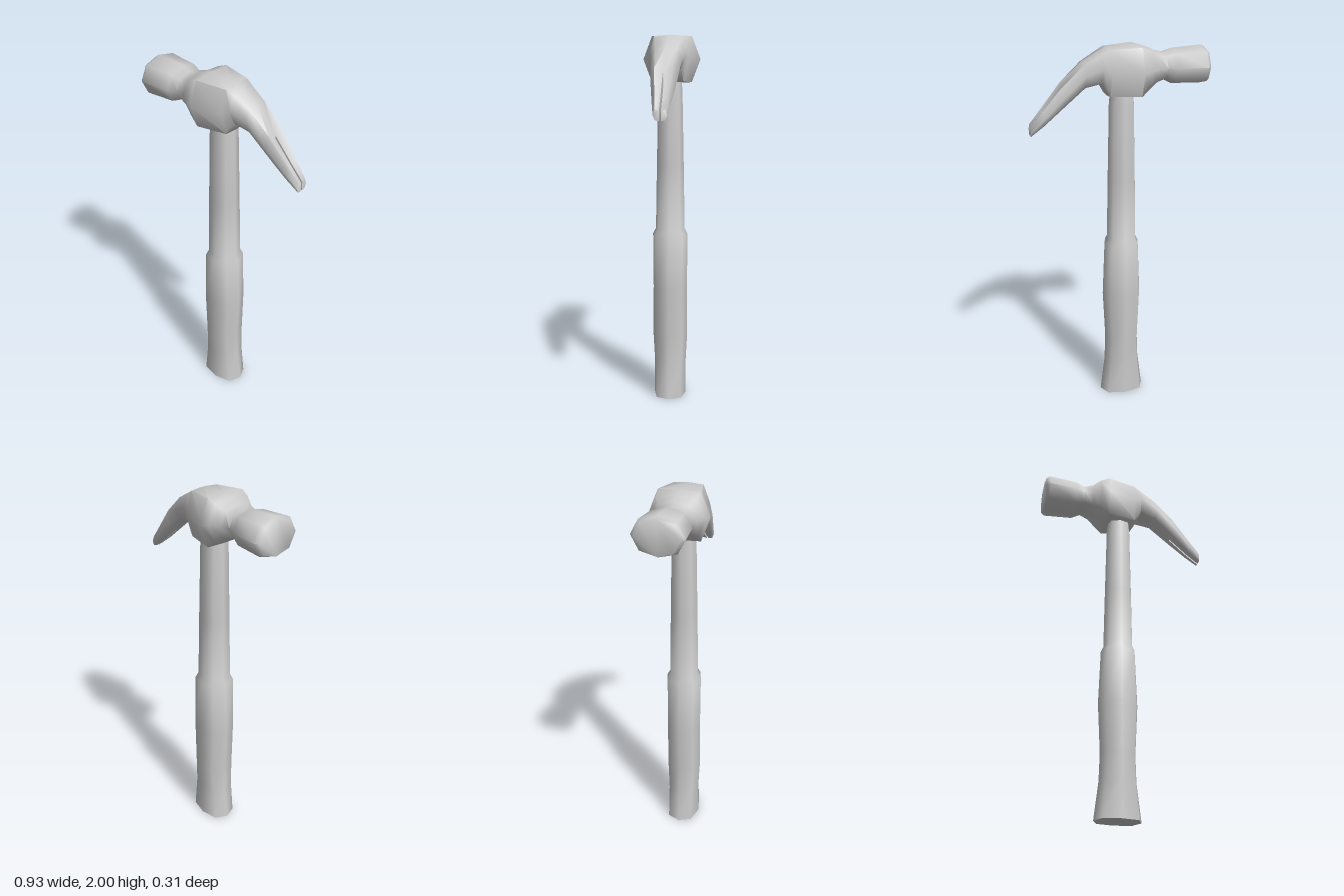
import * as THREE from 'three';
import { toCreasedNormals } from 'three/addons/utils/BufferGeometryUtils.js';

const material = new THREE.MeshStandardMaterial({ color: 0xcccccc });

// Skins a row of equal closed rings into index triples, with both ends capped.
// Quads lying wholly on the z = 0 seam (where two halves meet) are left out.
function loft(rings, positions, index) {
  const base = positions.length / 3;
  const n = rings[0].length;
  rings.forEach((ring) => ring.forEach((p) => positions.push(...p)));
  for (let r = 0; r < rings.length - 1; r++) {
    for (let i = 0; i < n; i++) {
      const j = (i + 1) % n;
      const corners = [rings[r][i], rings[r][j], rings[r + 1][j], rings[r + 1][i]];
      if (corners.every((p) => p[2] === 0)) continue;
      const a = base + r * n + i, b = base + r * n + j;
      index.push(a, b, b + n, a, b + n, a + n);
    }
  }
  const last = base + (rings.length - 1) * n;
  for (let i = 1; i < n - 1; i++) {
    index.push(base, base + i + 1, base + i);
    index.push(last, last + i, last + i + 1);
  }
}

function toMesh(name, positions, index, crease) {
  const geometry = new THREE.BufferGeometry();
  geometry.setAttribute('position', new THREE.Float32BufferAttribute(positions, 3));
  geometry.setIndex(index);
  const mesh = new THREE.Mesh(toCreasedNormals(geometry, crease), material);
  mesh.name = name;
  return mesh;
}

// Handle: eight-sided sections [y, half width in x, half depth in z]
function createHandle() {
  const sections = [
    [0, 0.125, 0.088],
    [0.2, 0.1, 0.088],
    [0.35, 0.095, 0.096],
    [0.62, 0.108, 0.094],
    [0.92, 0.096, 0.096],
    [0.95, 0.082, 0.08],
    [1.3, 0.076, 0.074],
    [1.7, 0.068, 0.066],
    [1.78, 0.06, 0.06],
  ];
  const rings = sections.map(([y, hx, hz]) => {
    const ring = [];
    for (let i = 0; i < 8; i++) {
      const t = (i * Math.PI) / 4;
      const k = i % 2 ? 1.08 : 1; // slightly squared corners
      ring.push([-0.02 + hx * k * Math.sin(t), y, hz * k * Math.cos(t)]);
    }
    return ring;
  });
  const positions = [], index = [];
  loft(rings, positions, index);
  return toMesh('handle', positions, index, 1.2);
}

// Head: sections along x from striking face to claw tips
// [x, top, bottom, half depth, corner depth ratio, corner height ratio, groove dip, slot half gap]
function createHead() {
  const sections = [
    [-0.468, 1.973, 1.793, 0.115, 0.7, 0.76, 0, 0],
    [-0.45, 1.984, 1.785, 0.133, 0.7, 0.76, 0, 0],
    [-0.29, 1.974, 1.79, 0.118, 0.7, 0.76, 0, 0],
    [-0.242, 1.955, 1.815, 0.097, 0.7, 0.78, 0, 0],
    [-0.19, 1.968, 1.8, 0.112, 0.7, 0.82, 0, 0],
    [-0.148, 1.988, 1.78, 0.145, 0.7, 0.9, 0, 0],
    [-0.1, 2.0, 1.745, 0.157, 0.7, 0.97, 0, 0],
    [0.06, 1.993, 1.745, 0.112, 0.7, 0.95, 0, 0],
    [0.1, 1.975, 1.81, 0.098, 0.7, 0.88, 0, 0],
    [0.185, 1.927, 1.79, 0.08, 0.72, 0.85, 0, 0],
    [0.294, 1.817, 1.697, 0.068, 0.72, 0.85, 0.02, 0],
    [0.296, 1.815, 1.695, 0.068, 0.72, 0.85, 0.02, 0.005],
    [0.4, 1.69, 1.605, 0.049, 0.72, 0.85, 0.012, 0.005],
    [0.466, 1.613, 1.556, 0.036, 0.72, 0.85, 0.006, 0.005],
  ];
  const half = sections.map(([x, top, bottom, hz, cz, cy, dip, gap]) => {
    const mid = (top + bottom) / 2, h = (top - bottom) / 2;
    return [
      [x, top - dip, gap],
      [x, mid + h * (dip ? 1 : cy), hz * cz],
      [x, mid, hz],
      [x, mid - h * cy, hz * cz],
      [x, bottom, gap],
    ];
  });
  const mirrored = half.map((ring) => ring.map(([x, y, z]) => [x, y, z === 0 ? 0 : -z]).reverse());
  const positions = [], index = [];
  loft(half, positions, index);
  loft(mirrored, positions, index);
  return toMesh('headWithClaw', positions, index, 1.15);
}

export function createModel() {
  const group = new THREE.Group();
  group.name = 'clawHammer';
  group.add(createHandle(), createHead());
  return group;
}
